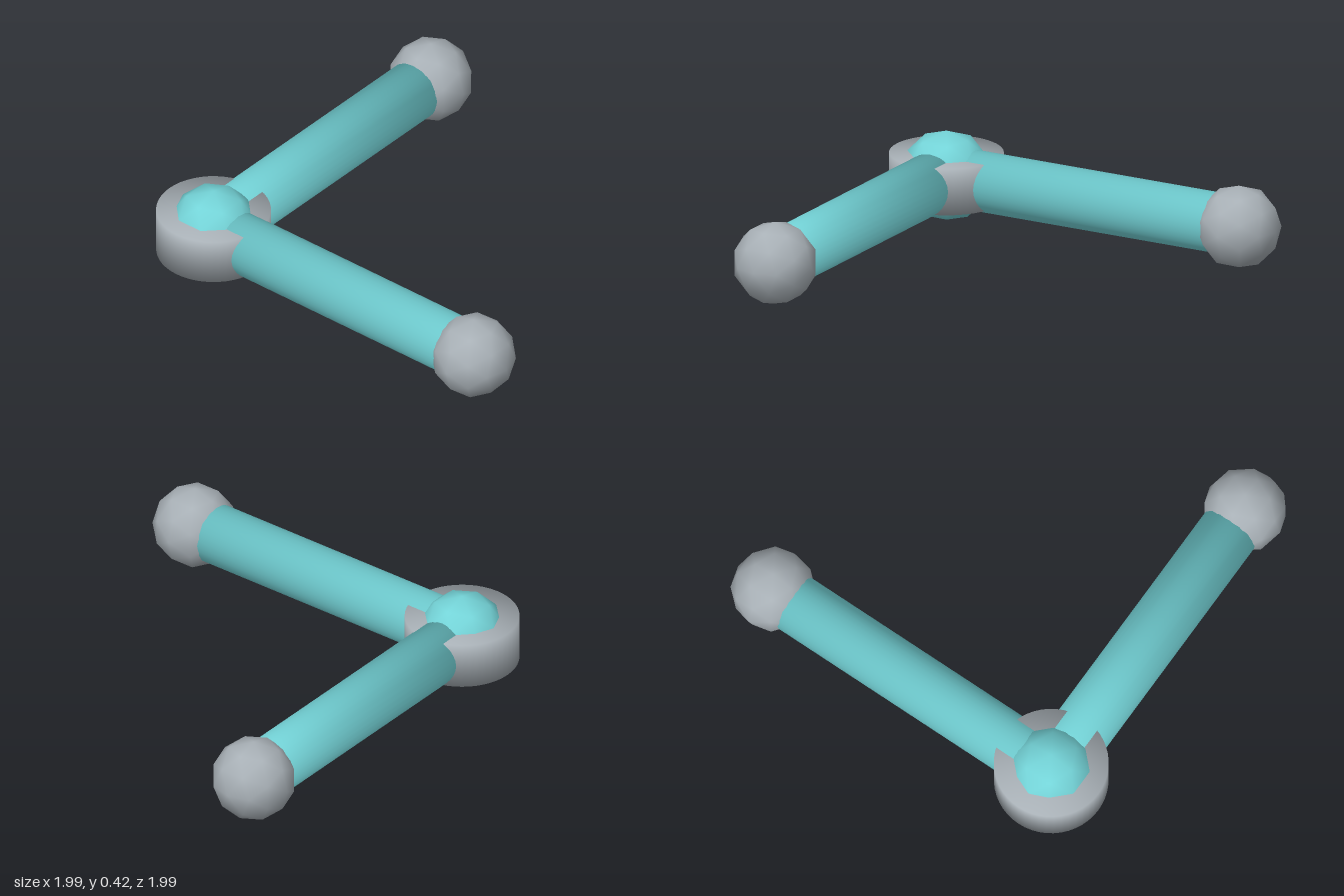
import * as THREE from 'three';

const CORNER = -0.739, END = 0.8, MID = 0.212;

// Cylinder shaded smoothly across its rims
function softCylinder(radius, height, sides) {
  const geo = new THREE.CylinderGeometry(radius, radius, height, sides);
  const { position, normal } = geo.attributes;
  const n = new THREE.Vector3();
  for (let i = 0; i < position.count; i++) {
    n.set(position.getX(i) / radius, Math.sign(position.getY(i)), position.getZ(i) / radius).normalize();
    normal.setXYZ(i, n.x, n.y, n.z);
  }
  return geo;
}

export function createModel() {
  const teal = new THREE.MeshStandardMaterial({ name: 'teal', color: 0x74d4d8 });
  const grey = new THREE.MeshStandardMaterial({ name: 'grey', color: 0xa8b0b6 });
  const model = new THREE.Group();
  model.name = 'jointedArms';

  const add = (parent, name, geometry, material, x, y, z) => {
    const mesh = new THREE.Mesh(geometry, material);
    mesh.name = name;
    mesh.position.set(x, y, z);
    parent.add(mesh);
    return mesh;
  };

  // Corner joint: ball poking through a solid collar
  add(model, 'jointBall', new THREE.IcosahedronGeometry(0.212, 1), teal, CORNER, MID, CORNER);
  add(model, 'jointCollar', softCylinder(0.261, 0.22, 48), grey, CORNER, MID, CORNER);

  // Two equal arms at a right angle, each with an end ball
  const length = END - CORNER;
  const rodGeometry = softCylinder(0.138, length, 32);
  const ballGeometry = new THREE.IcosahedronGeometry(0.194, 1);
  for (const [name, turn] of [['sideArm', 0], ['frontArm', -Math.PI / 2]]) {
    const arm = new THREE.Group();
    arm.name = name;
    arm.position.set(CORNER, MID, CORNER);
    arm.rotation.y = turn;
    add(arm, 'rod', rodGeometry, teal, length / 2, 0, 0).rotation.z = -Math.PI / 2;
    add(arm, 'endBall', ballGeometry, grey, length, 0, 0);
    model.add(arm);
  }
  return model;
}
